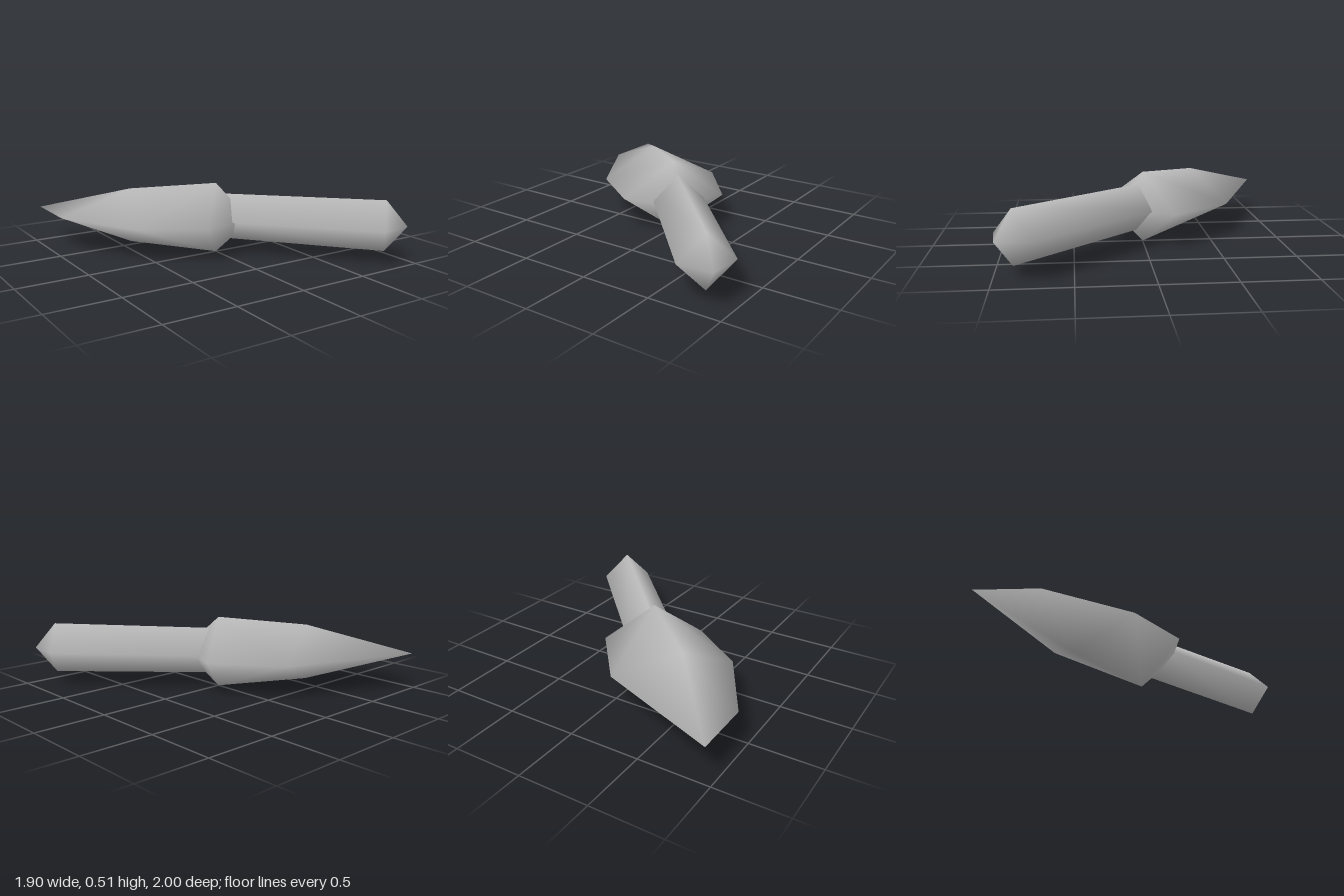
import * as THREE from 'three';
import { mergeVertices } from 'three/addons/utils/BufferGeometryUtils.js';
import { ConvexGeometry } from 'three/addons/geometries/ConvexGeometry.js';

const MID_Y = 0.265;

// Smooth-shaded convex solid spanning a few corner points
function smoothSolid(name, corners, material) {
  const hull = new ConvexGeometry(corners);
  hull.deleteAttribute('normal');
  const geometry = mergeVertices(hull, 1e-4);
  geometry.computeVertexNormals();
  const mesh = new THREE.Mesh(geometry, material);
  mesh.name = name;
  return mesh;
}

const at = (x, z, y = MID_Y) => new THREE.Vector3(x, y, z);

// Diamond cross-section: two side corners, a top and a bottom corner
function diamond(sideA, sideB, ridge, halfHeight, midY = MID_Y) {
  return [
    at(...sideA, midY), at(...sideB, midY),
    at(...ridge, midY + halfHeight), at(...ridge, midY - halfHeight),
  ];
}

export function createModel() {
  const group = new THREE.Group();
  group.name = 'handTool';

  const grey = new THREE.MeshStandardMaterial({ color: 0xbcbcbc });
  grey.name = 'plain grey';

  // Broad head, narrowing to a slanted tip edge
  group.add(smoothSolid('head', [
    at(0.153, 0.213),
    ...diamond([-0.24, 0.27], [0.295, -0.2], [0, 0], 0.255, 0.26),
    ...diamond([-0.64, -0.02], [-0.05, -0.625], [-0.475, -0.42], 0.2, 0.255),
    at(-0.955, -0.575), at(-0.955, -1),
  ], grey));

  // Four-sided handle with a pointed end, sunk into the head
  group.add(smoothSolid('handle', [
    ...diamond([-0.105, 0.125], [0.135, -0.15], [0.015, -0.01], 0.164, 0.272),
    ...diamond([0.695, 0.995], [0.95, 0.735], [0.82, 0.87], 0.18, 0.272),
    at(0.93, 0.97, 0.272),
  ], grey));

  return group;
}
